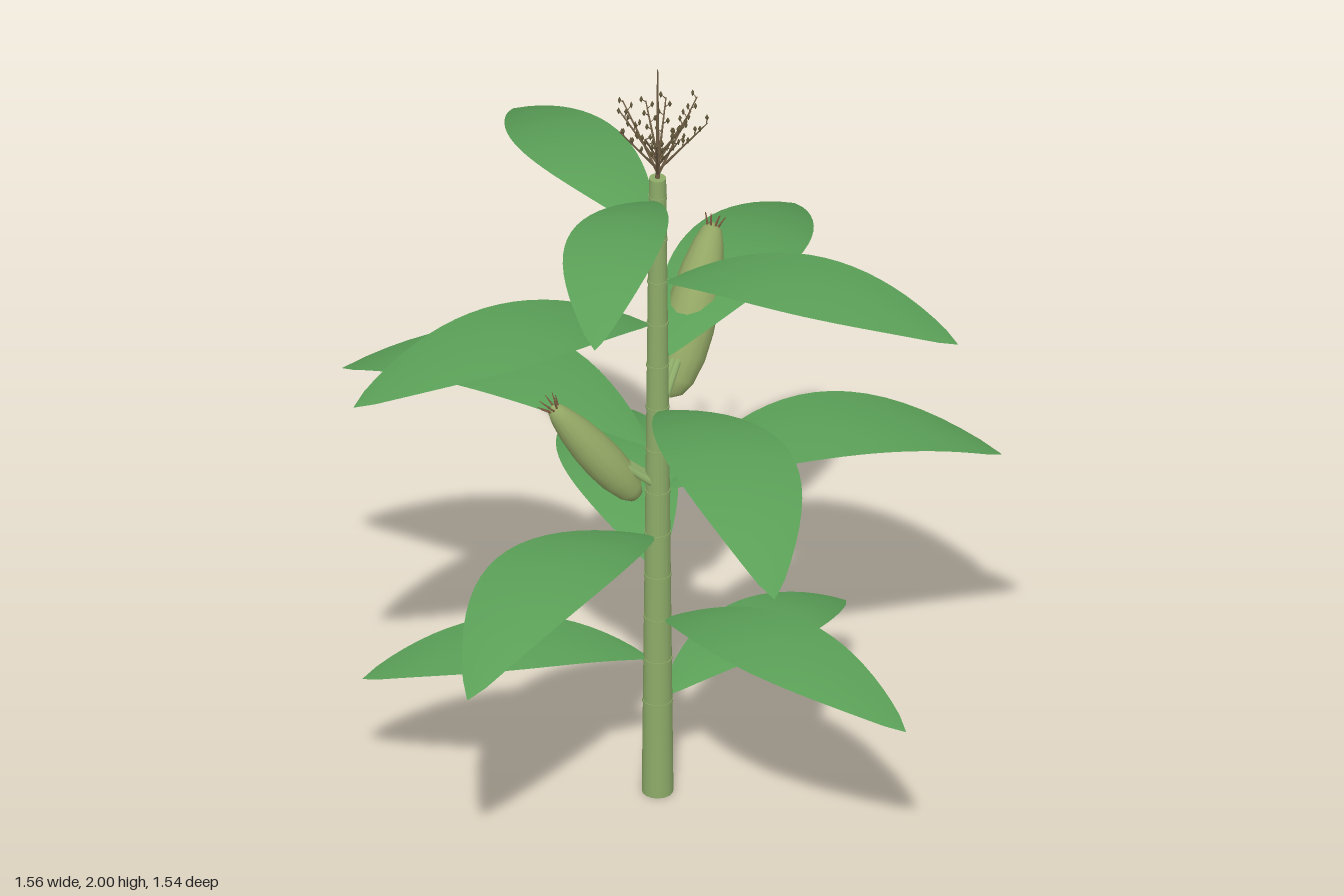
import * as THREE from 'three';

const mat = (name, color, side = THREE.FrontSide) => {
  const m = new THREE.MeshStandardMaterial({ color, side });
  m.name = name;
  return m;
};
const GOLDEN = THREE.MathUtils.degToRad(137.5);
const V = (x, y, z = 0) => new THREE.Vector3(x, y, z);

export function createModel() {
  const leafGreen = mat('leaf green', 0x5a9f57, THREE.DoubleSide);
  const stalkGreen = mat('stalk green', 0x8dab69);
  const huskGreen = mat('husk green', 0x92a664);
  const tasselBrown = mat('tassel brown', 0x6f5d45);
  const spikeletBrown = mat('spikelet brown', 0x5f5538);
  const silkBrown = mat('silk brown', 0x7a5a40);

  const model = new THREE.Group();
  model.name = 'plant';
  const plant = new THREE.Group();
  plant.name = 'stalkAxis';
  plant.position.set(0.015, 0, 0.03);
  model.add(plant);

  const add = (parent, name, geometry, material) => {
    const mesh = new THREE.Mesh(geometry, material);
    mesh.name = name;
    parent.add(mesh);
    return mesh;
  };
  // Tapered rod between two points
  const rod = (parent, name, a, b, r0, r1, sides, material) => {
    const d = b.clone().sub(a);
    const mesh = add(parent, name, new THREE.CylinderGeometry(r1, r0, d.length(), sides), material);
    mesh.position.copy(a).addScaledVector(d, 0.5);
    mesh.quaternion.setFromUnitVectors(V(0, 1, 0), d.normalize());
    return mesh;
  };
  // Group whose +x axis points outward at the given angle around the stalk
  const spoke = (name, angle) => {
    const g = new THREE.Group();
    g.name = name;
    g.rotation.y = -angle;
    plant.add(g);
    return g;
  };

  // Stalk with a slim raised ring at every leaf node
  const TOP = 1.7;
  const stalkRadius = y => 0.037 - 0.017 * (y / TOP);
  rod(plant, 'stalk', V(0, 0), V(0, TOP), stalkRadius(0), stalkRadius(TOP), 16, stalkGreen);

  // Arched leaf: a lens outline bowed to one side, edges drooping slightly
  const leafGeometry = (length, bowSide) => {
    const rows = 20, cols = 6, pos = [], index = [];
    for (let i = 0; i <= rows; i++) {
      const t = i / rows;
      const half = 0.004 + 0.172 * length * Math.pow(Math.max(0, Math.sin(Math.PI * t)), 0.85);
      const w = i === rows ? 0.001 : half;
      const bow = bowSide * 0.046 * length * Math.sin(Math.PI * Math.pow(t, 1.2));
      const y = length * (0.545 * t - 0.585 * t * t);
      for (let j = 0; j <= cols; j++) {
        const s = (j / cols) * 2 - 1;
        pos.push(0.02 + length * t, y - 0.07 * w * s * s, bow + s * w);
        if (i < rows && j < cols) {
          const a = i * (cols + 1) + j, b = a + cols + 1;
          index.push(a, a + 1, b, b, a + 1, b + 1);
        }
      }
    }
    const g = new THREE.BufferGeometry();
    g.setAttribute('position', new THREE.Float32BufferAttribute(pos, 3));
    g.setIndex(index);
    g.computeVertexNormals();
    return g;
  };

  // Thirteen leaves spiralling up by the golden angle, longest in the middle
  for (let i = 0; i < 13; i++) {
    const y = 0.252 + 0.1163 * i;
    const length = 0.62 + 0.195 * Math.sin((Math.PI * i) / 12);
    const g = spoke('leafNode', -GOLDEN * i);
    g.position.y = y;
    add(g, 'leaf', leafGeometry(length, i % 2 ? -1 : 1), leafGreen);
    const r = stalkRadius(y) + 0.0015;
    add(g, 'nodeRing', new THREE.CylinderGeometry(r, r, 0.008, 16), stalkGreen);
  }

  // Ears: husk body, short shank and a crown of silk
  const huskProfile = [[0, 0], [0.4, 0.03], [0.7, 0.1], [0.93, 0.24], [1, 0.4], [0.95, 0.57],
    [0.8, 0.74], [0.57, 0.89], [0.36, 0.97], [0, 1]];
  const addEar = (degrees, base, tip, radius, shankY) => {
    const g = spoke('ear', THREE.MathUtils.degToRad(degrees));
    const axis = tip.clone().sub(base);
    const length = axis.length();
    const body = new THREE.Group();
    body.name = 'earBody';
    body.position.copy(base);
    body.quaternion.setFromUnitVectors(V(0, 1, 0), axis.normalize());
    g.add(body);
    const pts = huskProfile.map(([r, t]) => new THREE.Vector2(r * radius, t * length));
    add(body, 'husk', new THREE.LatheGeometry(pts, 14), huskGreen);
    for (let k = 0; k < 8; k++) {
      const a = (k / 8) * Math.PI * 2, c = Math.cos(a), s = Math.sin(a);
      rod(body, 'silk', V(c * 0.012, length * 0.97, s * 0.012),
        V(c * 0.026, length + 0.018, s * 0.026), 0.003, 0.0008, 5, silkBrown);
    }
    for (const z of [-0.012, 0, 0.012]) {
      rod(g, 'shank', V(0.01, shankY, z), V(0.1, shankY + 0.07, z), 0.011, 0.009, 8, stalkGreen);
    }
  };
  addEar(-19.5, V(0.075, 1.045), V(0.325, 1.385), 0.062, 1.08);
  addEar(-140, V(0.045, 0.815), V(0.25, 1.085), 0.048, 0.86);

  // Tassel: central spike and branches carrying small spikelets
  rod(plant, 'tasselSpike', V(0, TOP - 0.01), V(0, 2), 0.006, 0.0015, 6, tasselBrown);
  const spikelet = new THREE.OctahedronGeometry(0.006);
  spikelet.scale(0.8, 1.6, 0.8);
  for (let k = 0; k < 12; k++) {
    const g = spoke('tasselBranch', GOLDEN * k);
    const start = V(0, 1.705 + 0.005 * k);
    const end = V(0.135 - 0.006 * k, 1.862 + 0.008 * Math.sin(k * 2));
    rod(g, 'branch', start, end, 0.0035, 0.0015, 5, tasselBrown);
    for (let n = 0; n < 5; n++) {
      const t = 0.5 + n * 0.12;
      const p = start.clone().lerp(end, t);
      const side = n % 2 ? 1 : -1;
      const q = p.clone().add(V(0, 0.01, side * 0.012));
      rod(g, 'twig', p, q, 0.0015, 0.001, 4, tasselBrown);
      add(g, 'spikelet', spikelet, spikeletBrown).position.copy(q);
    }
  }
  return model;
}
